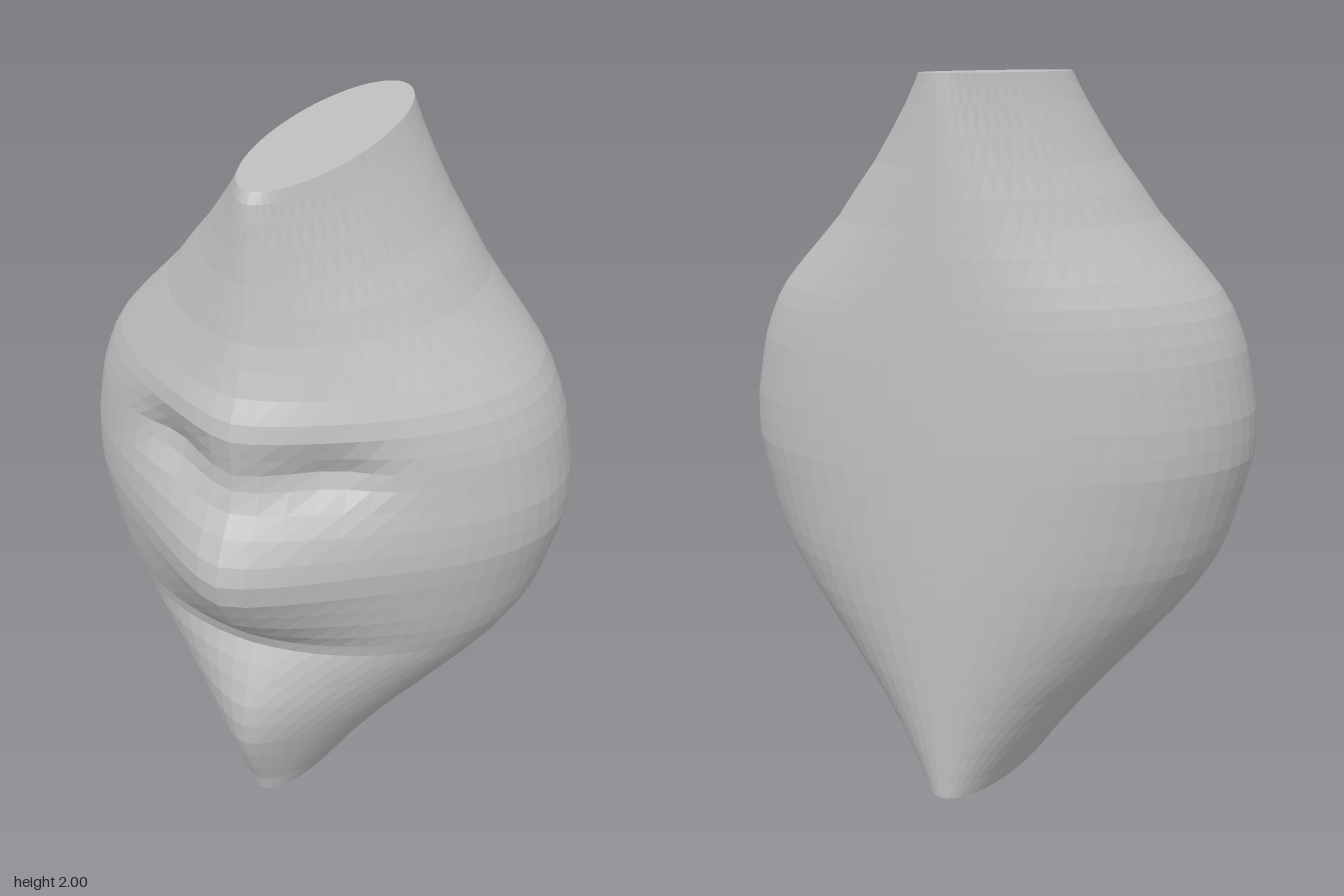
import * as THREE from 'three';

// Horizontal rings from bottom to top: [height, half width, front depth on the centre line]
const RINGS = [
  [0, 0.15, 0.39], [0.05, 0.185, 0.405], [0.12, 0.24, 0.44], [0.2, 0.305, 0.475],
  [0.27, 0.365, 0.497], [0.34, 0.43, 0.502], [0.41, 0.49, 0.495], [0.48, 0.55, 0.473],
  [0.54, 0.597, 0.45], [0.6, 0.635, 0.42], [0.64, 0.66, 0.435], [0.69, 0.682, 0.49],
  [0.75, 0.702, 0.545], [0.81, 0.718, 0.585], [0.87, 0.735, 0.622], [0.94, 0.752, 0.635],
  [1.0, 0.754, 0.622], [1.07, 0.752, 0.585], [1.13, 0.742, 0.545], [1.19, 0.731, 0.527],
  [1.24, 0.72, 0.525], [1.29, 0.702, 0.53], [1.35, 0.675, 0.536], [1.4, 0.643, 0.523],
  [1.46, 0.59, 0.488], [1.53, 0.522, 0.465], [1.6, 0.455, 0.446], [1.68, 0.393, 0.432],
  [1.76, 0.325, 0.42], [1.84, 0.265, 0.412], [1.92, 0.205, 0.405], [1.97, 0.17, 0.397],
  [2, 0.15, 0.38],
];
const SIDES = 64;
const CENTRE_Z = -0.11;

const bell = (v, width) => Math.exp(-((v / width) ** 2));

// A point on the head: an ellipse with a face ridge pushed forward and eye sockets pressed in
function headPoint([y, halfWidth, front], angle) {
  const depth = 0.49 + 0.035 * Math.sin((Math.PI * y) / 2);
  const t = Math.abs(angle);
  const ridge = (front - CENTRE_Z - depth) * Math.exp(-((t / 0.43) ** 1.5));
  const socket = 0.055 * bell(y - 1.23, 0.075) * bell(t - 0.33, 0.2);
  return [
    halfWidth * Math.sin(angle),
    y,
    CENTRE_Z + depth * Math.cos(angle) + ridge - socket,
  ];
}

const ringAngle = (j) => {
  const k = j % SIDES;
  return ((k > SIDES / 2 ? k - SIDES : k) / SIDES) * Math.PI * 2;
};

function makeGeometry(positions, indices) {
  const g = new THREE.BufferGeometry();
  g.setAttribute('position', new THREE.Float32BufferAttribute(positions, 3));
  g.setIndex(indices);
  g.computeVertexNormals();
  return g;
}

// Side surface lofted through all rings
function loftGeometry() {
  const positions = [], indices = [];
  RINGS.forEach((ring, i) => {
    for (let j = 0; j < SIDES; j++) {
      positions.push(...headPoint(ring, ringAngle(j)));
      if (i === RINGS.length - 1) continue;
      const a = i * SIDES + j, b = i * SIDES + ((j + 1) % SIDES);
      indices.push(a, b, b + SIDES, a, b + SIDES, a + SIDES);
    }
  });
  return makeGeometry(positions, indices);
}

// Flat fan closing one end
function capGeometry(ring, up) {
  const positions = [0, ring[0], CENTRE_Z], indices = [];
  for (let j = 0; j < SIDES; j++) {
    positions.push(...headPoint(ring, ringAngle(j)));
    const a = 1 + j, b = 1 + ((j + 1) % SIDES);
    indices.push(0, up ? a : b, up ? b : a);
  }
  return makeGeometry(positions, indices);
}

export function createModel() {
  const model = new THREE.Group();
  model.name = 'head';
  const grey = new THREE.MeshStandardMaterial({ color: 0xc0c0c0, flatShading: true });
  grey.name = 'clay grey';

  const add = (name, geometry) => {
    const mesh = new THREE.Mesh(geometry, grey);
    mesh.name = name;
    model.add(mesh);
  };
  add('face', loftGeometry());
  add('crownCap', capGeometry(RINGS[RINGS.length - 1], true));
  add('baseCap', capGeometry(RINGS[0], false));
  return model;
}
